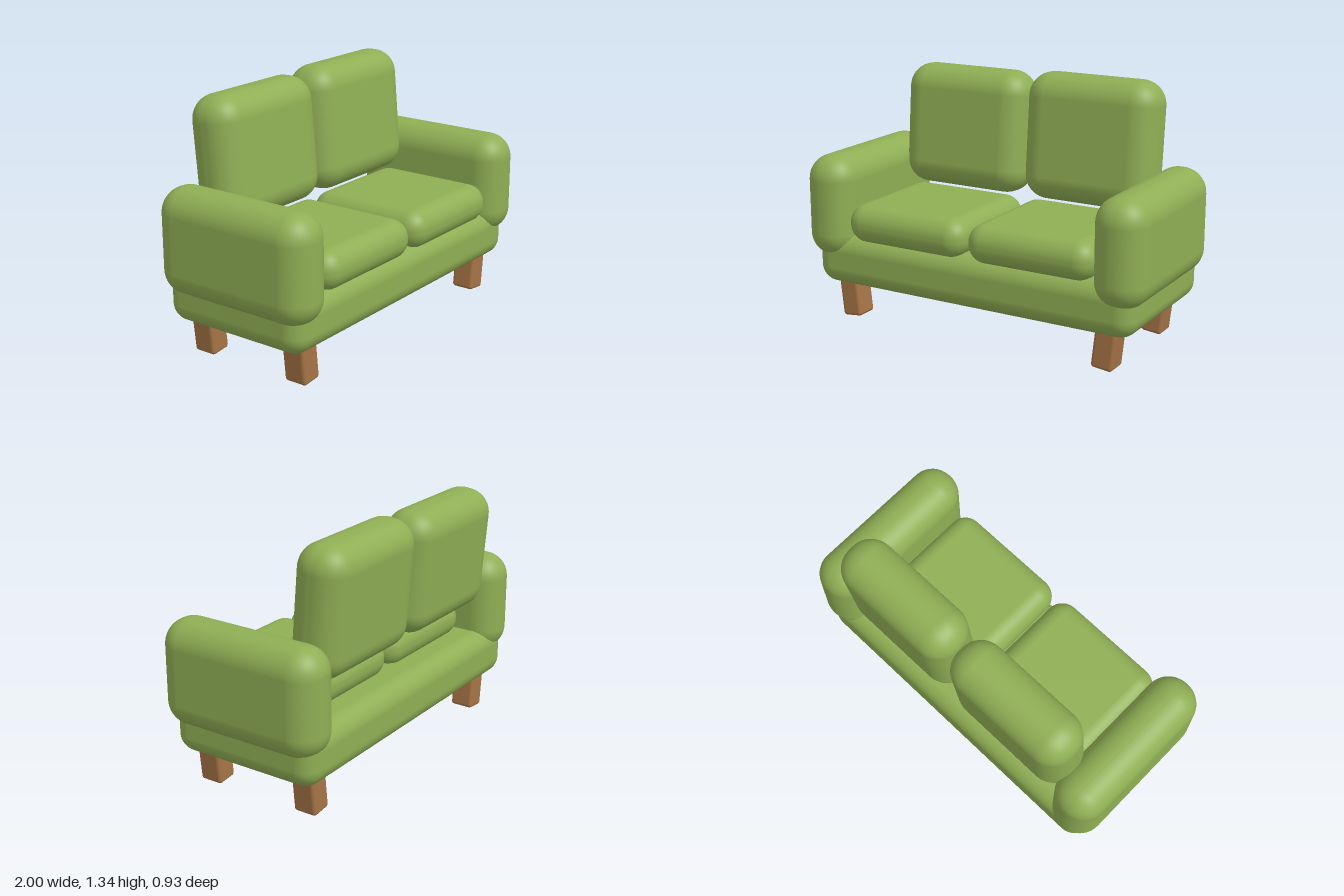
import * as THREE from 'three';
import { RoundedBoxGeometry } from 'three/addons/geometries/RoundedBoxGeometry.js';

export function createModel() {
  const sofa = new THREE.Group();
  sofa.name = 'sofa';

  const fabric = new THREE.MeshStandardMaterial({ color: 0x8fae54 });
  fabric.name = 'green fabric';
  const wood = new THREE.MeshStandardMaterial({ color: 0xa67446 });
  wood.name = 'wood';

  // Adds a softly rounded block of the given size, centred at the position
  function block(name, material, size, radius, position) {
    const mesh = new THREE.Mesh(new RoundedBoxGeometry(...size, 6, radius), material);
    mesh.name = name;
    mesh.position.set(...position);
    sofa.add(mesh);
    return mesh;
  }

  // Base
  block('base', fabric, [1.9, 0.29, 0.86], 0.1, [0, 0.335, -0.01]);

  for (const side of [-1, 1]) {
    const label = side > 0 ? 'left' : 'right';

    // Armrest
    block(label + 'Armrest', fabric, [0.28, 0.565, 0.93], 0.135, [side * 0.86, 0.6225, 0]);

    // Seat cushion
    block(label + 'SeatCushion', fabric, [0.725, 0.21, 0.72], 0.1, [side * 0.37, 0.555, 0.08]);

    // Back cushion, leaning back; the left one is slightly taller
    const height = side > 0 ? 0.688 : 0.673;
    const back = block(label + 'BackCushion', fabric, [0.76, height, 0.29], 0.132,
      [side * 0.382, 0.655 + height / 2, -0.298]);
    back.rotation.x = -0.085;

    // Legs, slanting inward towards the floor
    for (const [end, z] of [['Front', 0.29], ['Back', -0.305]]) {
      const leg = block(label + end + 'Leg', wood, [0.118, 0.3, 0.13], 0.018, [side * 0.776, 0.1535, z]);
      leg.rotation.z = -side * 0.107;
    }
  }

  return sofa;
}
